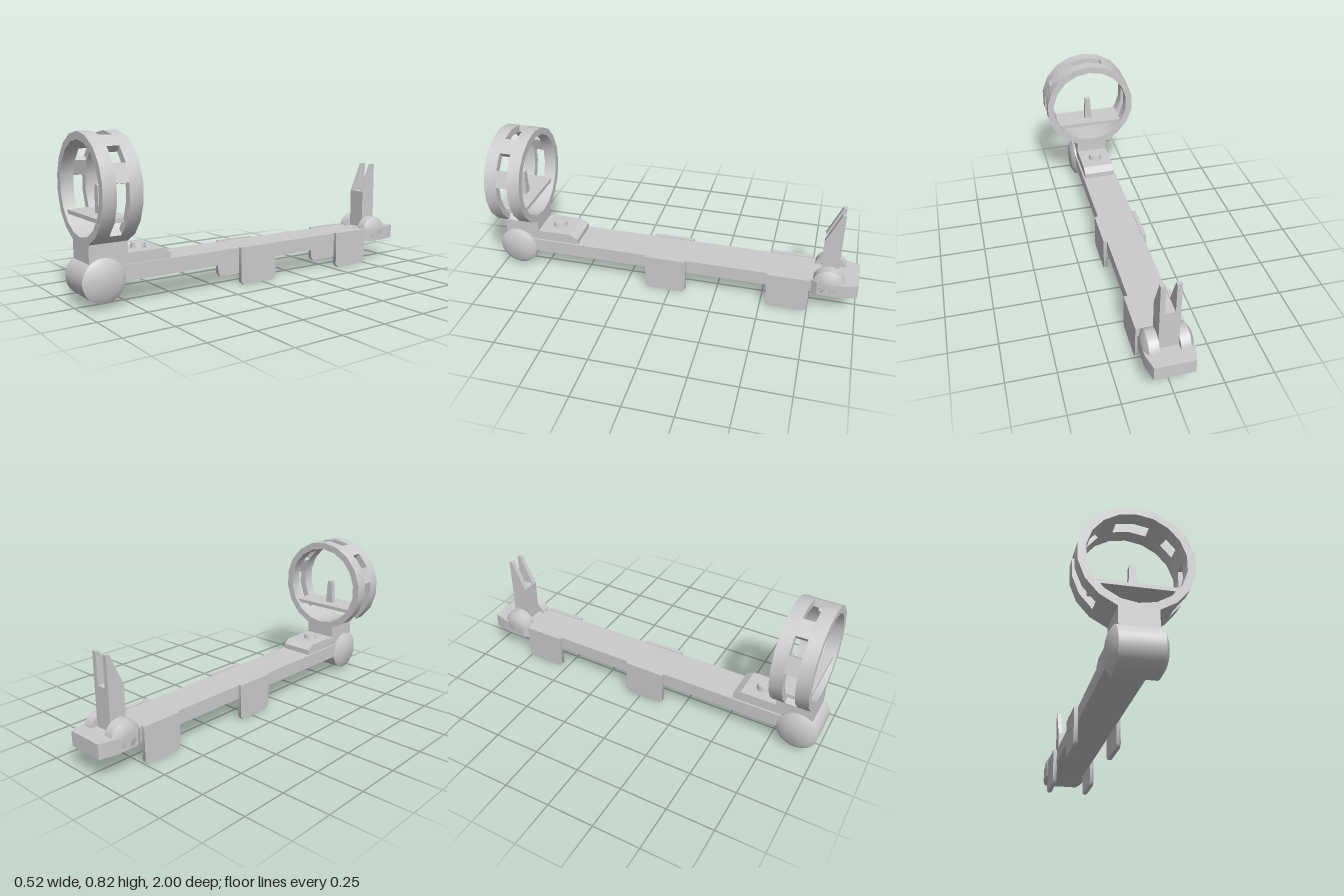
import * as THREE from 'three';
import { toCreasedNormals } from 'three/addons/utils/BufferGeometryUtils.js';

const material = new THREE.MeshStandardMaterial({ color: 0xcccccc });
const SOFT = 0.9; // crease angle for parts with softened bevels

export function createModel() {
  const model = new THREE.Group();

  const add = (name, geometry, parent = model, crease = 0.5) => {
    const mesh = new THREE.Mesh(toCreasedNormals(geometry, crease), material);
    mesh.name = name;
    parent.add(mesh);
  };
  const group = (name) => {
    const g = new THREE.Group();
    g.name = name;
    model.add(g);
    return g;
  };
  const toShape = (pts) => new THREE.Shape(pts.map(([a, b]) => new THREE.Vector2(a, b)));
  const extrude = (shape, depth) => new THREE.ExtrudeGeometry(shape, { depth, bevelEnabled: false });
  // Side profile of [z, y] points, extruded from x0 to x1
  const sideProfile = (pts, x0, x1) =>
    extrude(toShape(pts), x1 - x0).rotateY(-Math.PI / 2).translate(x1, 0, 0);
  const box = (x0, x1, y0, y1, z0, z1) =>
    new THREE.BoxGeometry(x1 - x0, y1 - y0, z1 - z0)
      .translate((x0 + x1) / 2, (y0 + y1) / 2, (z0 + z1) / 2);
  const lathe = (pts) => new THREE.LatheGeometry(pts.map(([r, y]) => new THREE.Vector2(r, y)), 36);

  // Rail with a widened rear block
  add('rail', box(-0.1, 0.1, 0.12, 0.196, -0.78, 0.9));
  const plan = [[0.1, 1], [0.12, 0.92], [0.12, 0.79], [0.1, 0.76]];
  const planOutline = [...plan, ...plan.map(([x, z]) => [-x, z]).reverse()];
  add('rearBlock', extrude(toShape(planOutline), 0.077).rotateX(-Math.PI / 2).translate(0, 0.12, 0));

  // Side clips hanging from the rail
  for (const z of [0.025, -0.64]) {
    const clip = [[-0.112, 0.2], [-0.112, 0.018], [-0.094, 0], [0.094, 0], [0.112, 0.018], [0.112, 0.2]]
      .map(([a, y]) => [z + a, y]);
    add('leftClip', sideProfile(clip, 0.098, 0.12), model, SOFT);
    add('rightClip', sideProfile(clip, -0.12, -0.098), model, SOFT);
  }

  // Front hub, a bevelled drum lying across the rail
  add('frontHub', lathe([[0, -0.12], [0.075, -0.12], [0.108, -0.1], [0.108, 0.1], [0.075, 0.12], [0, 0.12]])
    .rotateZ(-Math.PI / 2).translate(0, 0.135, 0.892), model, SOFT);

  // Neck under the ring with its base plate and button
  add('neckAndPlate', sideProfile([[0.96, 0.215], [0.96, 0.315], [0.765, 0.315], [0.765, 0.25],
    [0.575, 0.25], [0.535, 0.225], [0.535, 0.19], [0.85, 0.19]], -0.09, 0.09));
  add('button', new THREE.CylinderGeometry(0.033, 0.04, 0.03, 16).translate(0, 0.26, 0.668));

  // Slotted 18-sided ring: two full rims joined by arcs, leaving windows between
  const ring = group('frontSightRing');
  const ringY = 0.557, outer = 0.264, inner = 0.226;
  const arc = (r, from, to) => {
    const pts = [];
    for (let d = from; d <= to; d += 20) {
      const a = THREE.MathUtils.degToRad(d);
      pts.push([r * Math.sin(a), ringY + r * Math.cos(a)]);
    }
    return pts;
  };
  for (const [z0, z1] of [[0.765, 0.832], [0.893, 0.96]]) {
    // Outline anticlockwise, hole clockwise
    const rim = toShape(arc(outer, 0, 340).reverse());
    rim.holes.push(toShape(arc(inner, 0, 340)));
    add('rim', extrude(rim, z1 - z0).translate(0, 0, z0), ring);
  }
  for (const [from, to] of [[20, 40], [60, 80], [140, 220], [280, 300], [320, 340]]) {
    const bridge = toShape([...arc(outer, from, to), ...arc(inner, from, to).reverse()]);
    add('bridge', extrude(bridge, 0.061).translate(0, 0, 0.832), ring);
  }

  // Crossbar and tapered post inside the ring
  add('crossbar', box(-0.195, 0.195, 0.417, 0.437, 0.785, 0.945));
  add('frontPost', extrude(toShape([[-0.022, 0.435], [0.022, 0.435], [0.014, 0.57], [-0.014, 0.57]]), 0.028)
    .translate(0, 0, 0.847));

  // Rear hinge ears: bevelled discs cut off level with the rail's underside
  for (const side of [1, -1]) {
    const ear = lathe([[0, 0.05], [0.083, 0.05], [0.083, 0.1], [0.05, 0.12], [0, 0.12]])
      .rotateZ(-side * Math.PI / 2).translate(0, 0.177, -0.845);
    const p = ear.attributes.position;
    for (let i = 0; i < p.count; i++) p.setY(i, Math.max(p.getY(i), 0.12));
    add(side > 0 ? 'leftHingeEar' : 'rightHingeEar', ear, model, SOFT);
  }

  // Rear sight leaf with two pointed prongs
  const leaf = group('rearSight');
  add('leafBase', box(-0.05, 0.05, 0.15, 0.41, -0.89, -0.8), leaf);
  const prong = [[-0.89, 0.41], [-0.8, 0.41], [-0.872, 0.572], [-0.89, 0.572]];
  add('leftProng', sideProfile(prong, 0.025, 0.05), leaf);
  add('rightProng', sideProfile(prong, -0.05, -0.025), leaf);

  return model;
}
